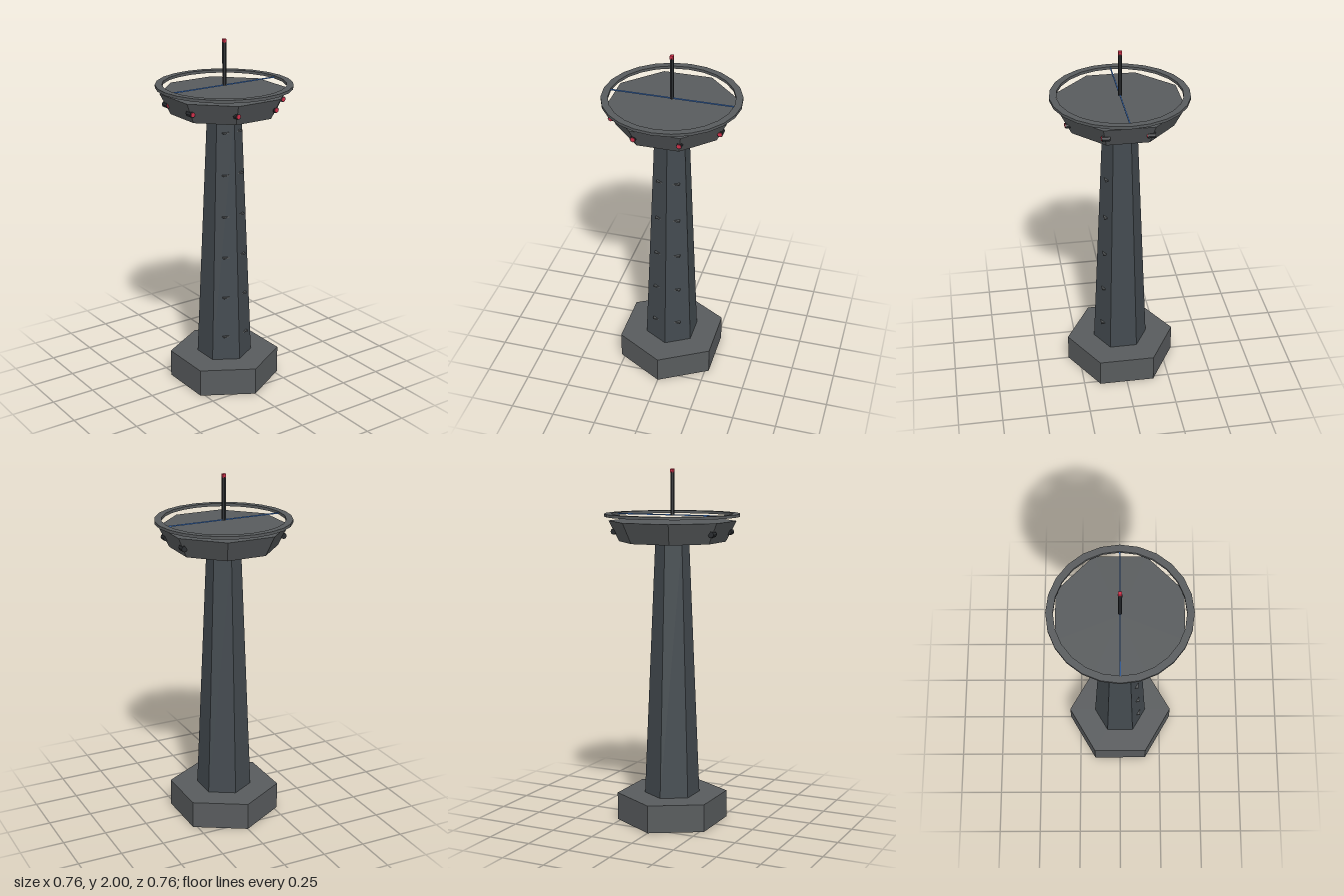
import * as THREE from 'three';

const flat = (name, color) => {
  const m = new THREE.MeshStandardMaterial({ color });
  m.name = name;
  m.flatShading = true;
  return m;
};

export function createModel() {
  const grey = flat('concreteGrey', 0x585b5d);
  const slate = flat('slateGrey', 0x434a4f);
  const dark = flat('darkMetal', 0x2b2e31);
  const red = flat('signalRed', 0xd0304a);
  const blue = flat('beamBlue', 0x4a86dc);

  const model = new THREE.Group();
  model.name = 'watchTower';
  const add = (name, geometry, material, x = 0, y = 0, z = 0, parent = model) => {
    const mesh = new THREE.Mesh(geometry, material);
    mesh.name = name;
    mesh.position.set(x, y, z);
    parent.add(mesh);
    return mesh;
  };

  // Hexagonal foundation and tapering shaft
  const baseH = 0.157, shaftTop = 1.6, rBottom = 0.157, rTop = 0.095;
  add('foundation', new THREE.CylinderGeometry(0.315, 0.315, baseH, 6), grey, 0, baseH / 2);
  add('shaft', new THREE.CylinderGeometry(rTop, rBottom, shaftTop - baseH, 6), slate, 0, (shaftTop + baseH) / 2);

  // Climbing rungs on the two front faces
  const rungGeo = new THREE.BoxGeometry(0.035, 0.008, 0.02);
  for (let i = 0; i < 6; i++) {
    const y = 0.3 + i * 0.24;
    const r = THREE.MathUtils.lerp(rBottom, rTop, (y - baseH) / (shaftTop - baseH));
    for (const side of [-1, 1]) add('rung', rungGeo, grey, side * r * 0.433, y, r * 0.75);
  }

  // Octagonal cabin, flat side to the front, flaring upwards
  const cabin = new THREE.CylinderGeometry(0.357, 0.298, 0.115, 8);
  cabin.rotateY(Math.PI / 8);
  add('cabin', cabin, grey, 0, 1.6575);

  // Sensor pods on six of the cabin corners, all looking forwards
  const podGeo = new THREE.CylinderGeometry(0.017, 0.017, 0.042, 8).rotateX(Math.PI / 2);
  const lensGeo = new THREE.CylinderGeometry(0.012, 0.012, 0.006, 8).rotateX(Math.PI / 2);
  for (const deg of [22.5, 67.5, 112.5]) {
    for (const side of [-1, 1]) {
      const a = THREE.MathUtils.degToRad(deg) * side;
      const pod = new THREE.Group();
      pod.name = 'sensorPod';
      pod.position.set(Math.sin(a) * 0.322, 1.654, Math.cos(a) * 0.312);
      add('podBody', podGeo, dark, 0, 0, 0, pod);
      add('podLens', lensGeo, red, 0, 0, 0.022, pod);
      model.add(pod);
    }
  }

  // Flat halo ring above the roof
  const h = 0.008;
  const profile = [[0.34, -h], [0.378, -h], [0.378, h], [0.34, h], [0.34, -h]]
    .map(([x, y]) => new THREE.Vector2(x, y));
  add('haloRing', new THREE.LatheGeometry(profile, 24), grey, 0, 1.747);

  // Thin cross beam carrying the mast
  add('crossBeam', new THREE.BoxGeometry(0.68, 0.006, 0.006), blue, 0, 1.747);
  add('mast', new THREE.CylinderGeometry(0.011, 0.011, 0.24, 6), dark, 0, 1.865);
  add('mastLight', new THREE.BoxGeometry(0.019, 0.02, 0.019), red, 0, 1.99);

  return model;
}
